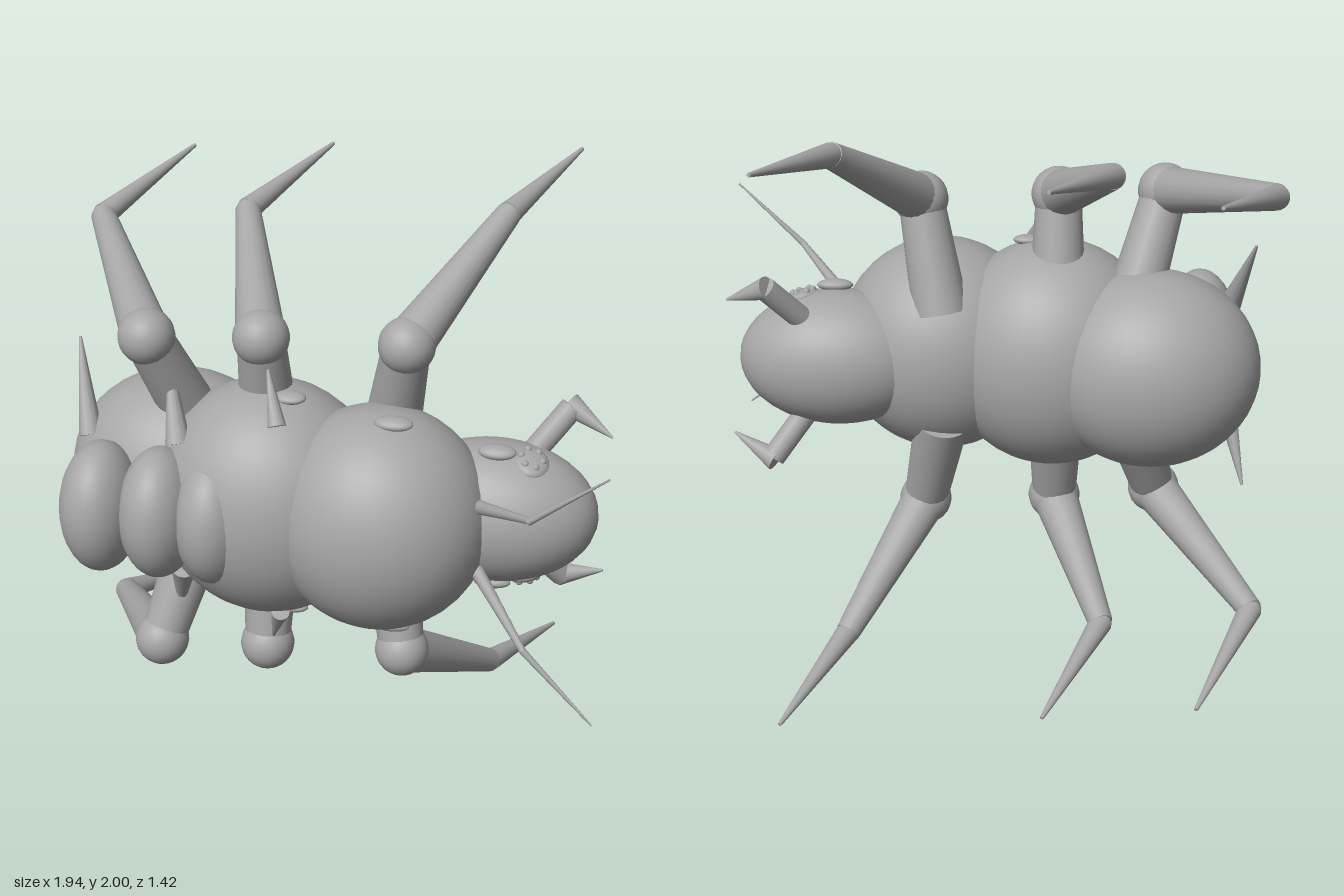
import * as THREE from 'three';

const shell = new THREE.MeshStandardMaterial({ color: 0xa6a6a6 });
shell.name = 'shell grey';

function ellipsoid(parent, name, center, radii, seg = 32, tilt = [0, 0, 0]) {
  const mesh = new THREE.Mesh(new THREE.SphereGeometry(1, seg, Math.ceil(seg * 0.6)), shell);
  mesh.name = name;
  mesh.position.set(...center);
  mesh.scale.set(...radii);
  mesh.rotation.set(...tilt);
  parent.add(mesh);
}

// Tapered rod from point a (radius ra) to point b (radius rb)
function rod(parent, name, a, b, ra, rb, seg = 20) {
  const from = new THREE.Vector3(...a), to = new THREE.Vector3(...b);
  const dir = to.clone().sub(from);
  const mesh = new THREE.Mesh(new THREE.CylinderGeometry(rb, ra, dir.length(), seg), shell);
  mesh.name = name;
  mesh.position.copy(from).add(to).multiplyScalar(0.5);
  mesh.quaternion.setFromUnitVectors(new THREE.Vector3(0, 1, 0), dir.normalize());
  parent.add(mesh);
}

// Three legs of one side: hip, joint, knee, tip
const LEGS = [
  ['frontLeg', [0.17, 1.21, 0.08], [0.24, 1.595, 0.19], [0.5, 1.905, -0.26], [0.695, 1.995, -0.705]],
  ['middleLeg', [-0.24, 1.24, 0.15], [-0.24, 1.6, 0.24], [-0.41, 1.845, -0.265], [-0.203, 1.95, -0.705]],
  ['rearLeg', [-0.5, 1.2, 0.13], [-0.615, 1.595, 0.3], [-0.94, 1.78, -0.265], [-0.725, 1.905, -0.705]],
];

// Back spikes: base, tip, base radius
const SPIKES = [
  [[-0.855, 1.17, 0.24], [-0.925, 1.47, 0.09], 0.042],
  [[-0.5, 1.24, 0.37], [-0.56, 1.5, 0.24], 0.045],
  [[-0.15, 1.36, 0.4], [-0.2, 1.52, 0.31], 0.032],
];

export function createModel() {
  const model = new THREE.Group();
  model.name = 'beetle';

  // Body segments
  ellipsoid(model, 'abdomen', [-0.575, 1, 0.09], [0.39, 0.36, 0.328], 40);
  ellipsoid(model, 'midBody', [-0.225, 1, 0.222], [0.4, 0.422, 0.358], 40);
  ellipsoid(model, 'frontBody', [0.175, 1, 0.292], [0.38, 0.395, 0.35], 40);
  ellipsoid(model, 'head', [0.545, 1, 0.16], [0.355, 0.248, 0.235], 36);

  // Row of lobes on the back
  [-0.767, -0.56, -0.365].forEach((x, i) =>
    ellipsoid(model, 'backLobe' + (i + 1), [x, 1, 0.42], [0.138, 0.235, 0.19], 28));

  // Both sides, mirrored about y = 1
  for (const s of [1, -1]) {
    const side = new THREE.Group();
    side.name = s > 0 ? 'upperSide' : 'lowerSide';
    model.add(side);
    const m = ([x, y, z]) => [x, 1 + s * (y - 1), z];

    for (const [name, hip, joint, knee, tip] of LEGS) {
      const leg = new THREE.Group();
      leg.name = name;
      side.add(leg);
      rod(leg, 'hip', m(hip), m(joint), 0.1, 0.08);
      ellipsoid(leg, 'joint', m(joint), [0.096, 0.096, 0.096], 24);
      rod(leg, 'thigh', m(joint), m(knee), 0.085, 0.044);
      ellipsoid(leg, 'knee', m(knee), [0.04, 0.04, 0.04], 16);
      rod(leg, 'shin', m(knee), m(tip), 0.042, 0.007);
    }

    for (const [base, tip, r] of SPIKES) rod(side, 'spike', m(base), m(tip), r, 0.005, 12);

    // Feeler
    rod(side, 'feelerBase', m([0.52, 1.12, 0.37]), m([0.72, 1.245, 0.64]), 0.024, 0.011, 12);
    rod(side, 'feelerTip', m([0.715, 1.24, 0.638]), m([0.96, 1.455, 0.705]), 0.012, 0.003, 12);

    // Jaw
    rod(side, 'jawBase', m([0.64, 1.16, 0.08]), m([0.775, 1.33, -0.005]), 0.042, 0.042, 16);
    rod(side, 'jawTip', m([0.765, 1.335, -0.015]), m([0.92, 1.26, 0.055]), 0.042, 0.004, 16);

    // Flat oval bumps
    ellipsoid(side, 'midBump', m([-0.135, 1.41, 0.28]), [0.055, 0.018, 0.035], 20, [s * 0.15, 0, 0]);
    ellipsoid(side, 'frontBump', m([0.23, 1.39, 0.355]), [0.065, 0.02, 0.034], 20, [s * 0.2, 0, 0]);
    ellipsoid(side, 'eye', m([0.555, 1.252, 0.22]), [0.065, 0.022, 0.036], 20, [s * 0.2, 0, 0]);

    // Small mound ringed with beads beside the eye
    ellipsoid(side, 'mound', m([0.67, 1.215, 0.205]), [0.06, 0.025, 0.07], 20, [s * 0.25, 0, -s * 0.25]);
    for (let i = 0; i < 6; i++) {
      const a = (i / 6) * Math.PI * 2;
      const dx = 0.036 * Math.cos(a), dz = 0.042 * Math.sin(a);
      ellipsoid(side, 'bead', m([0.67 + dx, 1.232 - 0.25 * dx - 0.25 * dz, 0.205 + dz]),
        [0.013, 0.013, 0.013], 10);
    }
  }
  return model;
}
